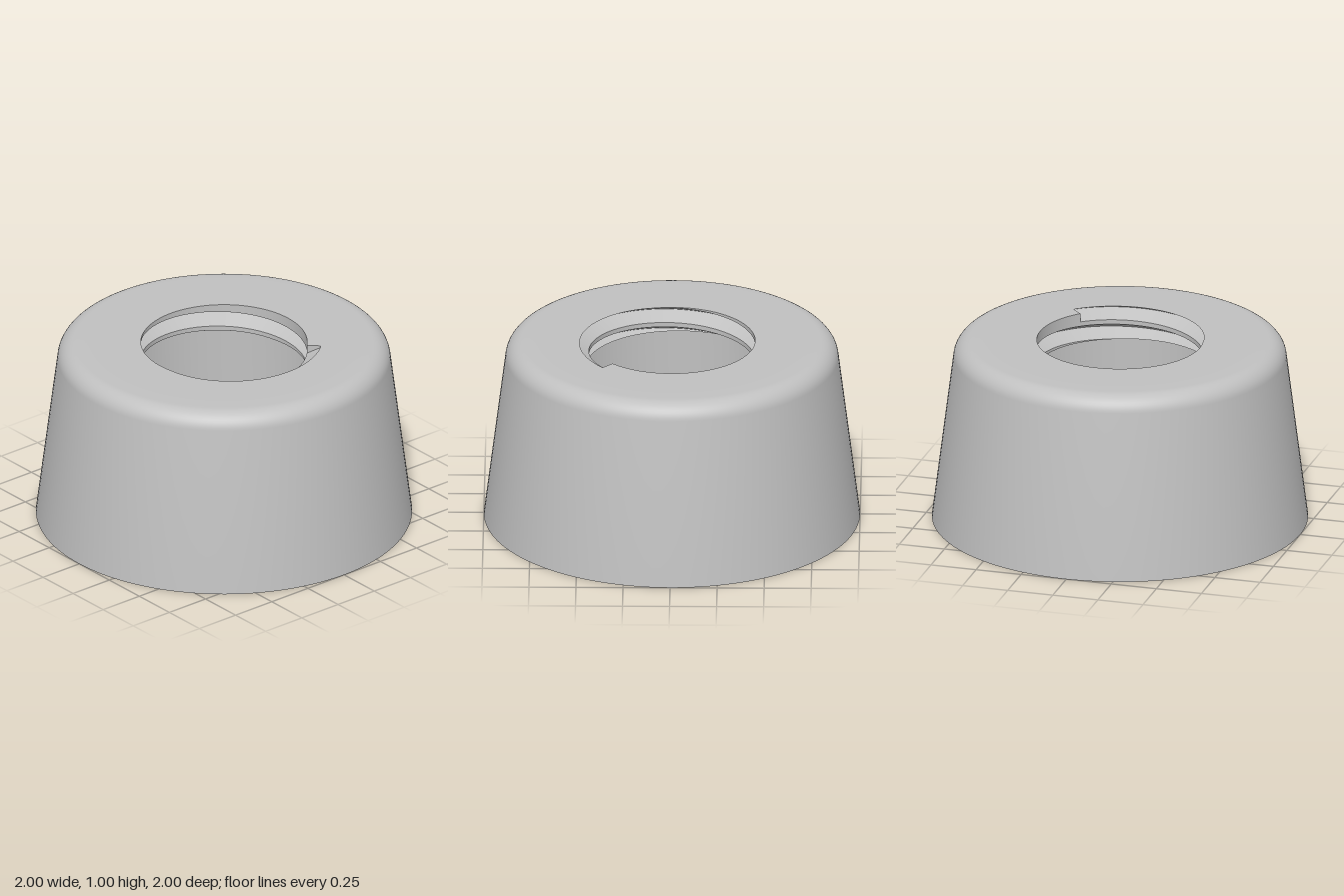
import * as THREE from 'three';
import { toCreasedNormals } from 'three/addons/utils/BufferGeometryUtils.js';

const SEG = 128;
const BORE = 0.442, ROOT = 0.084;               // hole radius and thread depth
const PITCH = 0.11, GROOVE = 0.085, LIP = 0.165; // thread pitch, groove height, lip thickness
const FIRST = -0.038;                            // depth of the groove's top edge where it starts

// Radius of the threaded hole at a given depth below the top, a number of turns from the start
function holeRadius(depth, turn) {
  let r = BORE;
  for (let k = 0; k < 3; k++) {
    const mid = FIRST + PITCH * (turn + k) + GROOVE / 2;
    r = Math.max(r, BORE + ROOT * (1 - Math.abs(depth - mid) / (GROOVE / 2)));
  }
  return r;
}

// Cross-section of the lip: top face, threaded wall, underside
function lipSection(turn) {
  const depths = [0];
  for (let k = 0; k < 3; k++) {
    for (const f of [0, 0.5, 1]) {
      const d = FIRST + PITCH * (turn + k) + GROOVE * f;
      depths.push(THREE.MathUtils.clamp(d, 0, LIP));
    }
  }
  depths.push(LIP);
  const wall = depths.map((d) => [holeRadius(d, turn), 1 - d]);
  return [[0.7, 1], ...wall, [0.605, 1 - LIP]];
}

function threadedLipGeometry() {
  const pos = [], index = [];
  let n = 0;
  for (let i = 0; i <= SEG; i++) {
    const a = (i / SEG) * Math.PI * 2 - Math.PI / 4;
    const section = lipSection(i / SEG);
    n = section.length;
    for (const [r, y] of section) pos.push(r * Math.cos(a), y, r * Math.sin(a));
  }
  for (let i = 0; i < SEG; i++) {
    for (let j = 0; j < n - 1; j++) {
      const a = i * n + j, b = a + n, c = b + 1, d = a + 1;
      index.push(a, d, b, c, b, d);
    }
  }
  const g = new THREE.BufferGeometry();
  g.setAttribute('position', new THREE.Float32BufferAttribute(pos, 3));
  g.setIndex(index);
  return toCreasedNormals(g, 0.5);
}

export function createModel() {
  const group = new THREE.Group();
  group.name = 'bumperFoot';
  const grey = new THREE.MeshStandardMaterial({ color: 0xc0c0c0 });
  grey.name = 'grey';
  const add = (name, geometry) => {
    const mesh = new THREE.Mesh(geometry, grey);
    mesh.name = name;
    group.add(mesh);
    return mesh;
  };

  // Tapered shell with stepped bore and rounded shoulder
  const profile = [[0.605, 1 - LIP], [0.605, 0.43], [0.81, 0.43], [0.81, 0], [1, 0]]
    .map(([x, y]) => new THREE.Vector2(x, y));
  const tilt = 0.125;
  for (let i = 0; i <= 10; i++) {
    const a = tilt + (Math.PI / 2 - tilt) * (i / 10);
    profile.push(new THREE.Vector2(0.786 + 0.1 * Math.cos(a), 0.9 + 0.1 * Math.sin(a)));
  }
  profile.push(new THREE.Vector2(0.7, 1));
  // rotated so the seams line up with the lip's facets
  const shell = new THREE.LatheGeometry(profile, SEG, Math.PI / 4);
  add('shell', toCreasedNormals(shell, 0.5));

  // Inward lip with a helical groove cut through its wall
  add('threadedLip', threadedLipGeometry());

  // Flat face where the groove starts at the top
  const start = new THREE.Shape([
    [BORE, 1],
    [BORE, 1 - FIRST - GROOVE],
    [BORE + ROOT, 1 - FIRST - GROOVE / 2],
    [holeRadius(0, 0), 1],
  ].map(([x, y]) => new THREE.Vector2(x, y)));
  add('grooveStart', new THREE.ShapeGeometry(start)).rotation.y = Math.PI / 4;

  return group;
}
